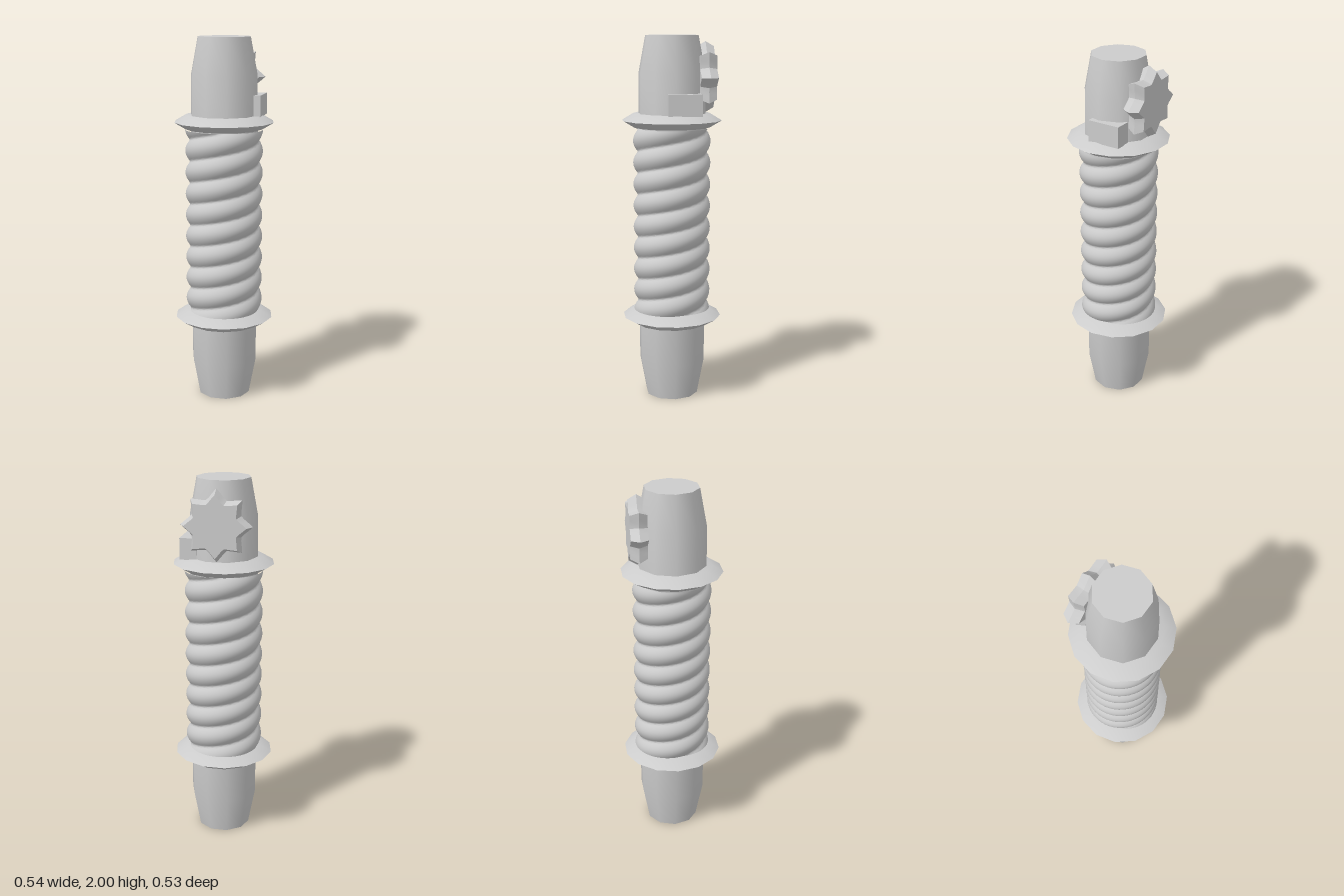
import * as THREE from 'three';
import { toCreasedNormals, mergeVertices } from 'three/addons/utils/BufferGeometryUtils.js';

export function createModel() {
  const model = new THREE.Group();
  const grey = new THREE.MeshStandardMaterial({ color: 0xcccccc });
  grey.name = 'grey';

  const add = (name, geometry) => {
    const mesh = new THREE.Mesh(geometry, grey);
    mesh.name = name;
    model.add(mesh);
    return mesh;
  };

  // Turned part from [radius, height] pairs, with a corner on the x axis
  const turned = (name, profile, sides) => {
    const points = profile.map(([r, y]) => new THREE.Vector2(r, y));
    const geometry = new THREE.LatheGeometry(points, sides).rotateY(Math.PI / 2);
    return add(name, toCreasedNormals(geometry, 0.75));
  };

  // Tapered ends and the core inside the grip
  turned('lowerEnd', [[0, 0], [0.145, 0], [0.183, 0.2], [0.185, 0.45], [0, 0.45]], 10);
  turned('gripCore', [[0, 0.44], [0.187, 0.44], [0.187, 1.56], [0, 1.56]], 10);
  turned('upperEnd', [[0, 1.55], [0.185, 1.55], [0.183, 1.8], [0.145, 2], [0, 2]], 10);

  // Bevelled collars above and below the grip
  for (const [name, y] of [['lowerCollar', 0.457], ['upperCollar', 1.547]]) {
    turned(name, [[0, y - 0.037], [0.21, y - 0.037], [0.272, y], [0.21, y + 0.037], [0, y + 0.037]], 14);
  }

  // Grip of two twisted strands: the radius follows a double helix
  const pitch = 0.238;
  const strands = 2;
  const grip = new THREE.CylinderGeometry(1, 1, 1.01, 48, 102, true);
  grip.deleteAttribute('uv');
  grip.deleteAttribute('normal');
  const gp = grip.attributes.position;
  for (let i = 0; i < gp.count; i++) {
    const angle = Math.atan2(gp.getX(i), gp.getZ(i));
    const y = gp.getY(i) + 1.0;
    const phase = Math.PI * strands * ((y - 1.32) / pitch - angle / (2 * Math.PI));
    const r = 0.183 + 0.028 * Math.pow(Math.abs(Math.cos(phase)), 0.8);
    gp.setXYZ(i, r * Math.sin(angle), y, r * Math.cos(angle));
  }
  const smoothGrip = mergeVertices(grip, 1e-4);
  smoothGrip.computeVertexNormals();
  add('twistedGrip', smoothGrip);

  // Eight-pointed knob on the back, widest halfway through its thickness
  const teeth = 8;
  const steps = 6;
  const knob = new THREE.CylinderGeometry(1, 1, 0.091, teeth * steps, 2);
  const kp = knob.attributes.position;
  for (let i = 0; i < kp.count; i++) {
    const x = kp.getX(i), y = kp.getY(i), z = kp.getZ(i);
    if (Math.hypot(x, z) < 0.5) continue;
    const turn = (Math.atan2(x, z) / (2 * Math.PI) + 1) * teeth;
    const fromValley = Math.abs(1 - 2 * (turn - Math.floor(turn)));
    const r = (0.14 + 0.05 * Math.pow(fromValley, 1.6)) * (Math.abs(y) > 0.01 ? 0.86 : 1);
    kp.setXYZ(i, x * r, y, z * r);
  }
  knob.rotateX(Math.PI / 2);
  add('starKnob', toCreasedNormals(knob, 0.5)).position.set(0, 1.777, -0.1825);

  // Small block on the left side above the collar
  add('sideBlock', new THREE.BoxGeometry(0.09, 0.115, 0.182)).position.set(0.163, 1.6375, -0.046);

  return model;
}
